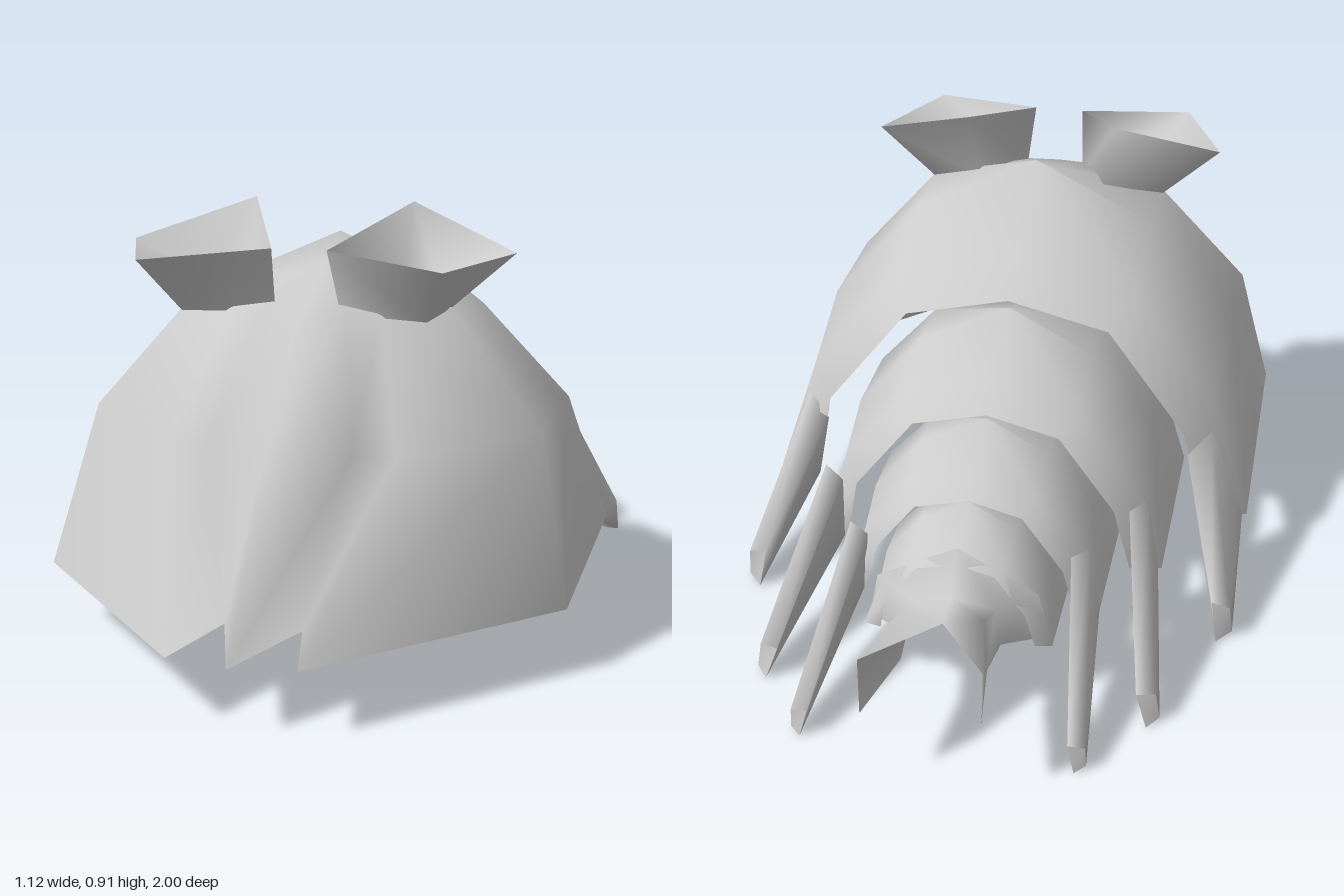
import * as THREE from 'three';
import { mergeVertices } from 'three/addons/utils/BufferGeometryUtils.js';

const material = new THREE.MeshStandardMaterial({ color: 0xcccccc, side: THREE.DoubleSide });
const HEM = 0.133;

// Smooth skin over a list of sections, each a list of [x, y, z] points.
function loft(name, sections, closed = false) {
  const n = sections[0].length;
  const index = [];
  for (let i = 0; i < sections.length - 1; i++) {
    for (let j = 0; j < (closed ? n : n - 1); j++) {
      const k = (j + 1) % n;
      const a = i * n + j, b = a + n, c = (i + 1) * n + k, d = i * n + k;
      index.push(a, b, c, a, c, d);
    }
  }
  let geometry = new THREE.BufferGeometry();
  geometry.setAttribute('position', new THREE.Float32BufferAttribute(sections.flat(2), 3));
  geometry.setIndex(index);
  geometry = mergeVertices(geometry, 1e-4);
  geometry.computeVertexNormals();
  const mesh = new THREE.Mesh(geometry, material);
  mesh.name = name;
  return mesh;
}

const flip = ([x, y, z]) => [-x, y, z];
// Completes a half section that ends on the centre line.
const mirrored = (half) => [...half, ...half.slice(0, -1).reverse().map(flip)];

function addPair(group, part, name) {
  const left = new THREE.Group();
  left.name = name + 'Left';
  left.add(...part);
  const right = left.clone();
  right.name = name + 'Right';
  right.scale.x = -1;
  group.add(left, right);
}

// Open shell: front columns, then side and rear columns, each from hem to crest,
// shrunk by s about the hem and shifted back by dz.
function shell(name, front, s = 1, dz = 0) {
  const columns = [
    ...front,
    [[0.56, HEM, 0.53], [0.485, 0.47, 0.43], [0.28, 0.71, 0.38], [0, 0.785, 0.3]],
    [[0.56, HEM, 0.2], [0.485, 0.47, 0.15], [0.28, 0.71, 0.18], [0, 0.835, 0.21]],
    [[0.56, HEM, -0.12], [0.465, 0.42, -0.1], [0.27, 0.64, -0.05], [0, 0.7, -0.03]],
    [[0.46, HEM, -0.14], [0.41, 0.37, -0.18], [0.23, 0.595, -0.15], [0, 0.64, -0.13]],
  ].map((c) => c.map(([x, y, z]) => [x * s, HEM + (y - HEM) * s, z * s + dz]));
  const right = columns.slice(1).reverse().map((c) => c.map(flip));
  return loft(name, [...right, ...columns]);
}

// Flattened spike with a blunt end; rings run outer, top, inner, bottom.
function leg(base, tip) {
  const centre = [0, 1, 2].map((k) => tip.reduce((s, p) => s + p[k], 0) / 4);
  return [loft('legSpike', [base, tip], true), loft('legTip', [tip, tip.map(() => centre)], true)];
}

export function createModel() {
  const model = new THREE.Group();
  model.name = 'shelledCrawler';

  // Carapace with three pleated prongs along the front hem
  model.add(shell('carapace', [
    [[0, HEM, 1], [0, 0.46, 0.77], [0, 0.7, 0.53], [0, 0.785, 0.3]],
    [[0.08, HEM, 0.78], [0.15, 0.46, 0.67], [0.09, 0.71, 0.5], [0, 0.785, 0.3]],
    [[0.13, HEM, 0.975], [0.235, 0.46, 0.66], [0.16, 0.71, 0.48], [0, 0.785, 0.3]],
  ]));

  // Three smaller shells nested one behind the other
  const plainFront = [[[0, HEM, 0.83], [0, 0.46, 0.7], [0, 0.7, 0.53], [0, 0.785, 0.3]]];
  [[0.7, -0.28], [0.5, -0.485], [0.36, -0.63]].forEach(([s, dz], i) => {
    model.add(shell('backPlate' + (i + 1), plainFront, s, dz));
  });

  // Eye cups: flaring walls around a sunken floor
  const foot = [[0.26, 0.7, 0.5], [0.07, 0.7, 0.46], [0.15, 0.75, 0.29], [0.28, 0.705, 0.36]];
  const rim = [[0.315, 0.82, 0.61], [0.058, 0.84, 0.52], [0.175, 0.91, 0.255], [0.415, 0.825, 0.36]];
  const floor = foot.map(([x, , z]) => [0.2 + (x - 0.2) * 0.7, 0.755, 0.42 + (z - 0.42) * 0.7]);
  const pit = rim.map(() => [0.2, 0.765, 0.42]);
  addPair(model, [
    loft('eyeCup', [foot, rim], true),
    loft('eyeFace', [rim, floor, pit], true),
  ], 'eye');

  // Three pairs of trailing legs
  addPair(model, leg(
    [[0.55, HEM, -0.12], [0.47, 0.36, -0.14], [0.42, 0.31, -0.17], [0.46, HEM, -0.14]],
    [[0.558, 0.01, -0.4], [0.55, 0.08, -0.41], [0.51, 0.09, -0.41], [0.525, 0, -0.43]],
  ), 'frontLeg');
  addPair(model, leg(
    [[0.385, HEM, -0.37], [0.36, 0.33, -0.39], [0.32, 0.3, -0.4], [0.33, HEM, -0.38]],
    [[0.435, 0.01, -0.71], [0.425, 0.07, -0.71], [0.385, 0.07, -0.72], [0.41, 0, -0.735]],
  ), 'middleLeg');
  addPair(model, leg(
    [[0.28, HEM, -0.54], [0.26, 0.3, -0.55], [0.22, 0.28, -0.56], [0.235, HEM, -0.55]],
    [[0.308, 0.01, -0.88], [0.305, 0.055, -0.88], [0.27, 0.06, -0.885], [0.285, 0, -0.895]],
  ), 'rearLeg');

  // Forked tail fin, widening forward to close the last plate
  model.add(loft('tailFin', [
    [[0.195, 0.14, -0.65], [0.17, 0.26, -0.67], [0, 0.345, -0.66]],
    [[0.1, 0.15, -0.71], [0.09, 0.24, -0.71], [0, 0.27, -0.73]],
    [[0.09, 0.155, -0.8], [0.085, 0.28, -0.8], [0, 0.26, -0.8]],
    [[0.12, 0.18, -1], [0.125, 0.295, -0.98], [0, 0.26, -0.8]],
  ].map(mirrored)));

  return model;
}
